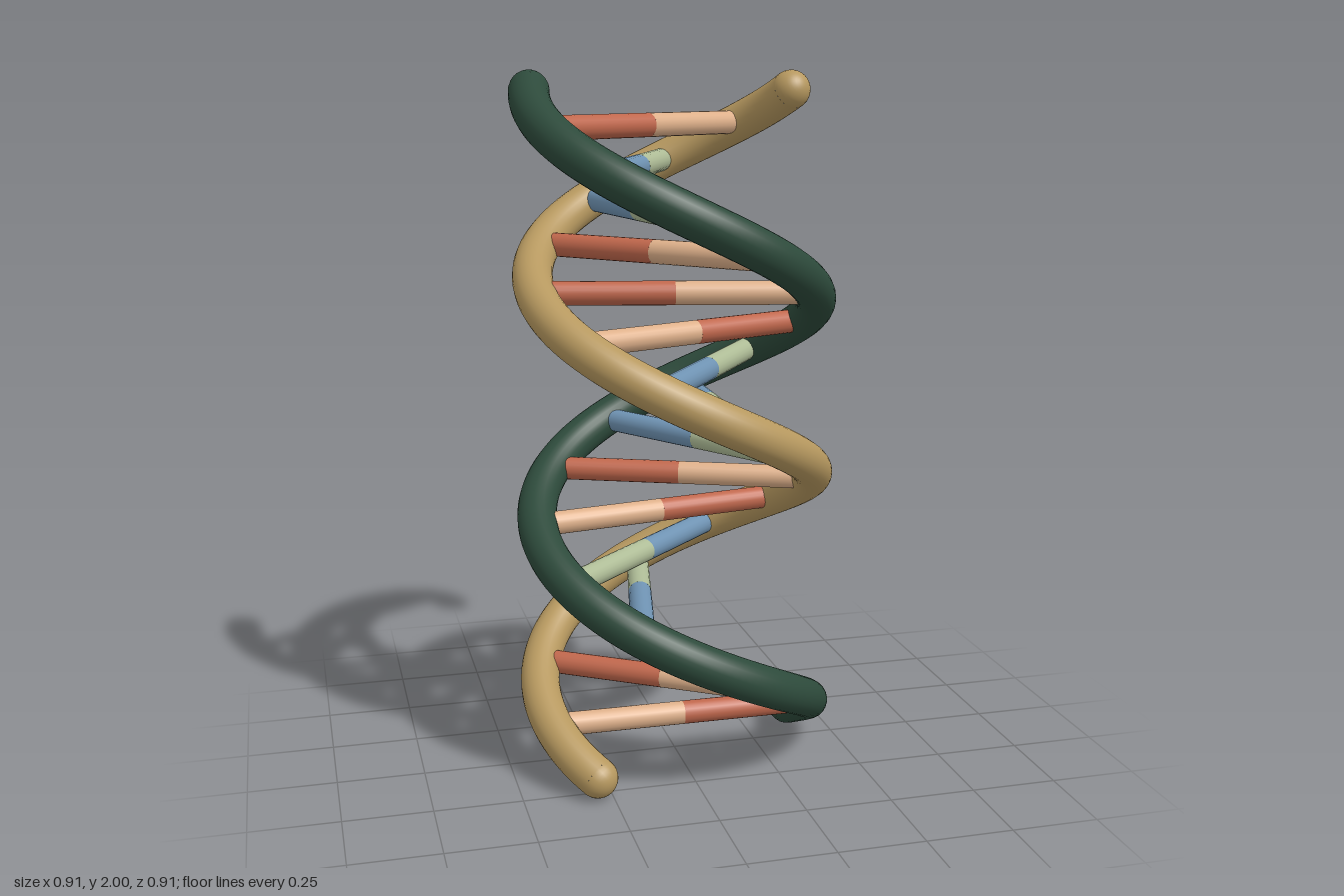
import * as THREE from 'three';

const RADIUS = 0.4;      // helix radius
const TUBE = 0.057;      // strand thickness
const RUNG = 0.034;      // rung thickness
const Y0 = 0.057, Y1 = 1.943;
const OFFSET = 150.5;    // degrees between the strands
const DEG = Math.PI / 180;

// Point on a strand at height y
function helixPoint(y, offset) {
  const a = (268.8 + 299.6 * (y - 1) + offset) * DEG;
  return new THREE.Vector3(RADIUS * Math.cos(a), y, RADIUS * Math.sin(a));
}

class Helix extends THREE.Curve {
  constructor(offset) {
    super();
    this.offset = offset;
  }
  getPoint(t, target = new THREE.Vector3()) {
    return target.copy(helixPoint(Y0 + (Y1 - Y0) * t, this.offset));
  }
}

export function createModel() {
  const mat = (name, color) => {
    const m = new THREE.MeshStandardMaterial({ color });
    m.name = name;
    return m;
  };
  const darkGreen = mat('dark green', 0x2d4a3b);
  const tan = mat('tan', 0xb6985f);
  const red = mat('brick red', 0xc0674c);
  const peach = mat('peach', 0xdeb08a);
  const sage = mat('sage', 0xafbd97);
  const blue = mat('blue', 0x6f93b3);
  const up = new THREE.Vector3(0, 1, 0);

  const model = new THREE.Group();
  model.name = 'doubleHelix';

  // Strands with rounded ends
  function strand(name, offset, material) {
    const group = new THREE.Group();
    group.name = name;
    const curve = new Helix(offset);
    const tube = new THREE.Mesh(new THREE.TubeGeometry(curve, 200, TUBE, 24), material);
    tube.name = name + 'Tube';
    group.add(tube);
    for (const t of [0, 1]) {
      const cap = new THREE.Mesh(new THREE.SphereGeometry(TUBE, 24, 10, 0, Math.PI * 2, 0, Math.PI / 2), material);
      cap.name = name + (t ? 'TopCap' : 'BottomCap');
      cap.position.copy(curve.getPoint(t));
      cap.quaternion.setFromUnitVectors(up, curve.getTangent(t).multiplyScalar(t ? 1 : -1));
      group.add(cap);
    }
    model.add(group);
  }
  strand('greenStrand', 0, darkGreen);
  strand('tanStrand', OFFSET, tan);

  // Half of a rung, from a strand to the middle
  function halfRung(name, from, to, material) {
    const mesh = new THREE.Mesh(new THREE.CylinderGeometry(RUNG, RUNG, from.distanceTo(to), 20), material);
    mesh.name = name;
    mesh.position.lerpVectors(from, to, 0.5);
    mesh.quaternion.setFromUnitVectors(up, to.clone().sub(from).normalize());
    return mesh;
  }

  // Rungs from bottom to top, named by the colour on the green strand
  const partner = new Map([[red, peach], [peach, red], [sage, blue], [blue, sage]]);
  const sequence = [red, peach, sage, blue, sage, peach, red, blue,
    blue, sage, red, peach, peach, sage, blue, red];
  sequence.forEach((material, i) => {
    const y = 1 + (i - 7.5) * 0.113;
    const a = helixPoint(y, 0), b = helixPoint(y, OFFSET);
    const mid = a.clone().lerp(b, 0.5);
    const rung = new THREE.Group();
    rung.name = 'rung' + (i + 1);
    rung.add(halfRung('greenSideHalf', a, mid, material));
    rung.add(halfRung('tanSideHalf', b, mid, partner.get(material)));
    model.add(rung);
  });

  return model;
}
